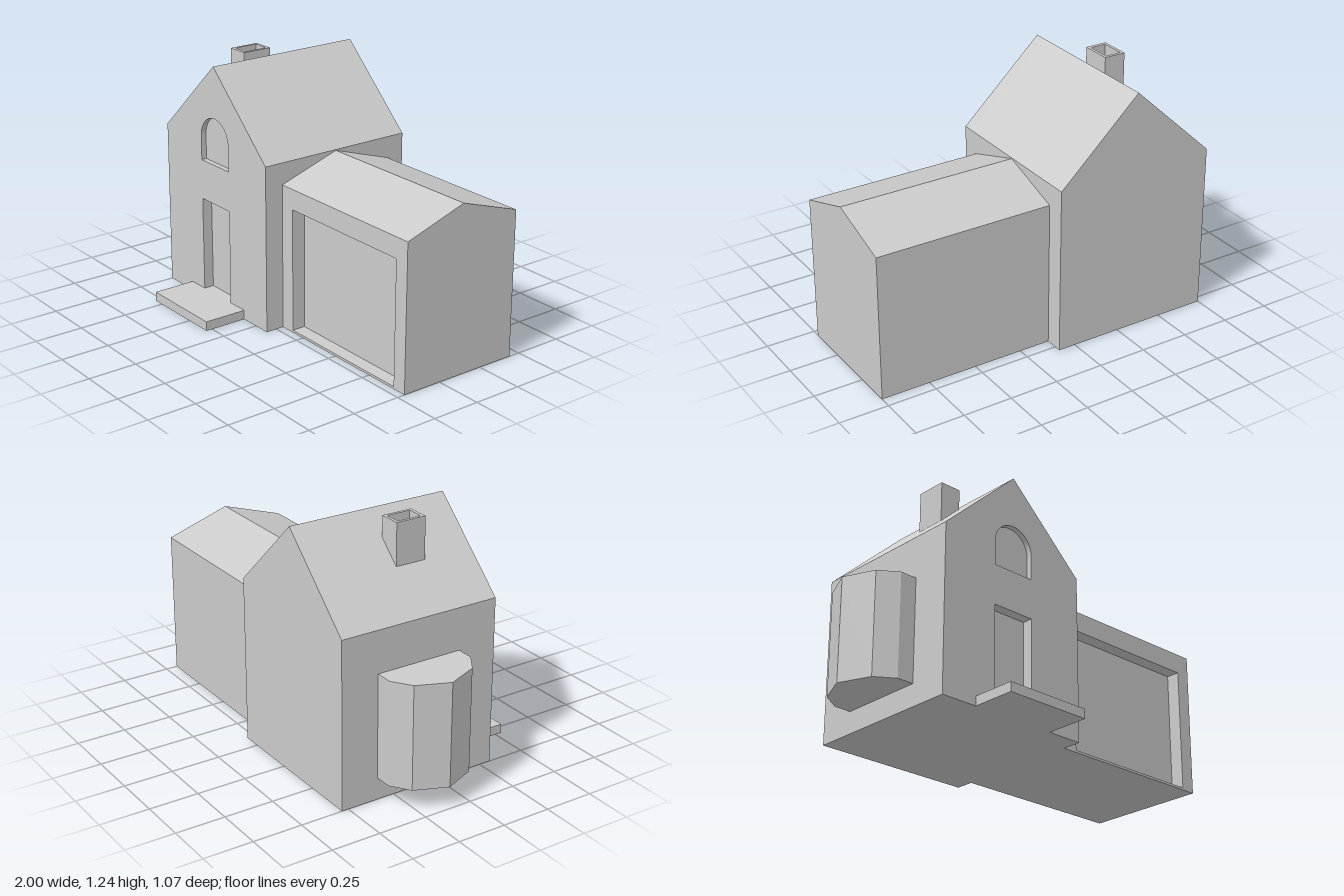
import * as THREE from 'three';

const material = new THREE.MeshStandardMaterial({ color: 0xcccccc, flatShading: true });

const outline = (points, Type = THREE.Shape) => new Type(points.map(p => new THREE.Vector2(...p)));
const rectangle = (x0, x1, y0, y1) => [[x0, y0], [x1, y0], [x1, y1], [x0, y1]];

// Extrude a front-facing outline from z0 to z1
function alongZ(shape, z0, z1) {
  return new THREE.ExtrudeGeometry(shape, { depth: z1 - z0, bevelEnabled: false, curveSegments: 16 })
    .translate(0, 0, z0);
}

// Extrude an outline drawn in (-z, y) from x0 to x1
const alongX = (shape, x0, x1) => alongZ(shape, x0, x1).rotateY(Math.PI / 2);

// Extrude a plan drawn in (x, -z) from y0 to y1
const alongY = (shape, y0, y1) => alongZ(shape, y0, y1).rotateX(-Math.PI / 2);

// Arched window outline
function arch(Type) {
  const path = new Type();
  path.moveTo(-0.445, 0.74);
  path.lineTo(-0.215, 0.74);
  path.lineTo(-0.215, 0.865);
  path.absarc(-0.33, 0.865, 0.115, 0, Math.PI, false);
  path.closePath();
  return path;
}

export function createModel() {
  const model = new THREE.Group();
  const add = (name, geometry) => {
    const mesh = new THREE.Mesh(geometry, material);
    mesh.name = name;
    model.add(mesh);
  };

  // Main house: solid gabled body with a thick pierced front wall
  const gable = [[-0.75, 0], [0.09, 0], [0.09, 0.85], [-0.33, 1.243], [-0.75, 0.85]];
  add('houseBody', alongZ(outline(gable), -0.535, 0.255));
  const front = outline(gable);
  front.holes.push(
    outline(rectangle(-0.445, -0.215, 0.048, 0.535), THREE.Path),
    arch(THREE.Path)
  );
  add('houseFrontWall', alongZ(front, 0.255, 0.308));
  add('archedWindow', new THREE.ShapeGeometry(arch(THREE.Shape), 16).translate(0, 0, 0.28));

  // Doorstep
  add('doorstep', alongZ(outline(rectangle(-0.555, -0.1, 0, 0.048)), 0.308, 0.533));

  // Garage wing: the roof reaches over the recessed front wall
  add('garageBody', alongX(outline([
    [-0.14, 0], [0.44, 0], [0.44, 0.74], [0.113, 0.846], [-0.21, 0.74], [-0.14, 0.74]
  ]), 0.09, 1));
  const garageFront = outline(rectangle(0.09, 1, 0, 0.74));
  garageFront.holes.push(outline(rectangle(0.17, 0.925, 0.012, 0.637), THREE.Path));
  add('garageFrontWall', alongZ(garageFront, 0.14, 0.21));

  // Bay window on the side wall
  add('bayWindow', alongY(outline([
    [-0.75, -0.107], [-0.75, 0.342], [-0.837, 0.342], [-0.932, 0.278],
    [-1, 0.117], [-0.932, -0.043], [-0.837, -0.107]
  ]), 0.112, 0.637));

  // Hollow chimney rising from the roof
  const chimney = outline(rectangle(-0.556, -0.443, -0.045, 0.113));
  chimney.holes.push(outline(rectangle(-0.541, -0.458, -0.027, 0.097), THREE.Path));
  add('chimney', alongY(chimney, 1.0, 1.243));

  return model;
}
